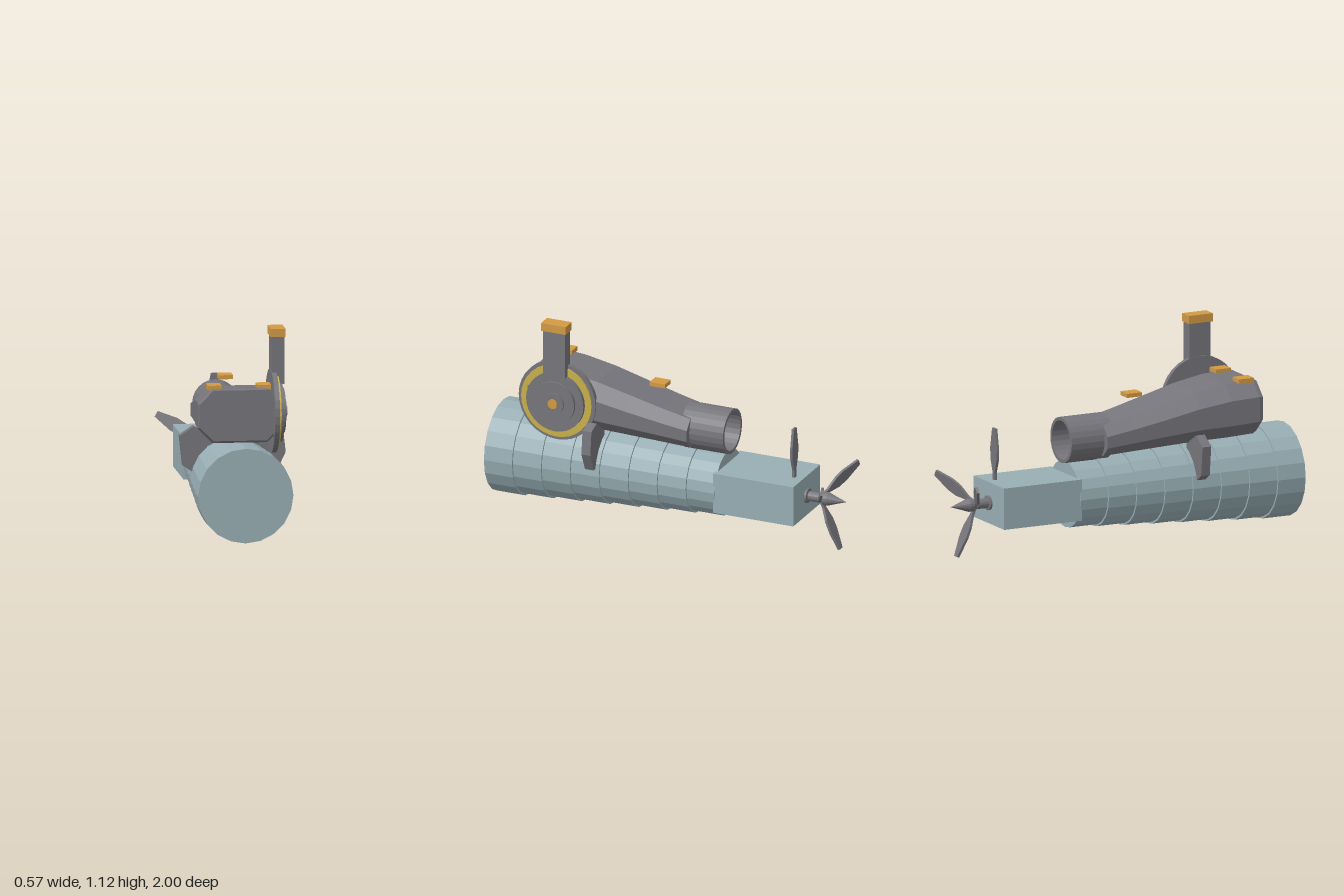
import * as THREE from 'three';

const paint = (name, color) => Object.assign(new THREE.MeshStandardMaterial({ color, flatShading: true }), { name });

export function createModel() {
  const model = new THREE.Group();
  const teal = paint('paleTeal', 0x98aeb4);
  const grey = paint('gunGrey', 0x75757b);
  const orange = paint('brassOrange', 0xd29a45);
  const yellow = paint('dullYellow', 0xc8b04c);

  const add = (name, geo, mat, x = 0, y = 0, z = 0, parent = model) => {
    const m = new THREE.Mesh(geo, mat);
    m.name = name;
    m.position.set(x, y, z);
    parent.add(m);
    return m;
  };
  // box given by its minimum and maximum corners
  const block = (name, mat, a, b) => add(name,
    new THREE.BoxGeometry(b[0] - a[0], b[1] - a[1], b[2] - a[2]), mat,
    (a[0] + b[0]) / 2, (a[1] + b[1]) / 2, (a[2] + b[2]) / 2);
  const plate = (points, depth) => new THREE.ExtrudeGeometry(
    new THREE.Shape(points.map(p => new THREE.Vector2(...p))), { depth, bevelEnabled: false })
    .translate(0, 0, -depth / 2);

  // stepped barrel, each ring a little narrower
  const axisY = 0.278, cx = -0.002, step = 0.164;
  for (let i = 0; i < 8; i++) {
    const r = 0.255 - i * 0.0105;
    add('barrelRing' + (i + 1), new THREE.CylinderGeometry(r, r, step, 20).rotateX(Math.PI / 2),
      teal, cx, axisY, 1 - step * (i + 0.5));
  }
  block('motorBox', teal, [-0.177, 0.165, -0.768], [0.173, 0.39, -0.3]);

  // octagonal housing lofted along z: [z, half width, bottom, top, chamfer]
  const sections = [
    [0.762, 0.218, 0.538, 0.81, 0.075],
    [0.74, 0.224, 0.525, 0.816, 0.078],
    [0.58, 0.214, 0.516, 0.808, 0.078],
    [0.4, 0.2, 0.512, 0.78, 0.076],
    [0.2, 0.185, 0.503, 0.73, 0.068],
    [0.02, 0.17, 0.495, 0.685, 0.058],
    [-0.138, 0.157, 0.487, 0.65, 0.05],
  ];
  const rings = sections.map(([z, w, b, t, c]) => [
    [w, b + c], [w, t - c], [w - c, t], [c - w, t], [-w, t - c], [-w, b + c], [c - w, b], [w - c, b],
  ].map(([x, y]) => [x - 0.003, y, z]));
  const verts = [];
  const tri = (...pts) => pts.forEach(p => verts.push(...p));
  for (let s = 0; s < rings.length - 1; s++) {
    for (let i = 0; i < 8; i++) {
      const j = (i + 1) % 8, A = rings[s], B = rings[s + 1];
      tri(A[i], B[i], B[j]);
      tri(A[i], B[j], A[j]);
    }
  }
  const last = rings[rings.length - 1];
  for (let i = 1; i < 7; i++) {
    tri(rings[0][0], rings[0][i], rings[0][i + 1]);
    tri(last[0], last[i + 1], last[i]);
  }
  const housing = new THREE.BufferGeometry();
  housing.setAttribute('position', new THREE.Float32BufferAttribute(verts, 3));
  housing.computeVertexNormals();
  add('housing', housing, grey);

  // hollow exhaust tube at the rear of the housing
  const wall = [[0.106, -0.125], [0.124, -0.125], [0.124, 0.125], [0.106, 0.125], [0.106, -0.125]]
    .map(p => new THREE.Vector2(...p));
  add('exhaustTube', new THREE.LatheGeometry(wall, 24).rotateX(Math.PI / 2), grey, -0.002, 0.573, -0.21);

  // sight pads
  block('frontPadRight', orange, [-0.172, 0.808, 0.645], [-0.098, 0.833, 0.735]);
  block('frontPadLeft', orange, [0.092, 0.808, 0.645], [0.166, 0.833, 0.735]);
  block('rearPad', orange, [-0.04, 0.77, 0.042], [0.036, 0.792, 0.132]);

  // side dial of stacked discs: [name, radius, x start, x end, material]
  const dial = new THREE.Group();
  dial.name = 'dial';
  dial.position.set(0, 0.672, 0.595);
  model.add(dial);
  [['dialBase', 0.224, 0.178, 0.204, grey],
    ['dialRing', 0.205, 0.2, 0.215, yellow],
    ['dialPlate', 0.167, 0.2, 0.235, grey],
    ['dialStep', 0.12, 0.2, 0.25, grey],
    ['dialHub', 0.06, 0.2, 0.26, grey],
    ['dialPin', 0.027, 0.2, 0.268, orange],
  ].forEach(([name, r, x0, x1, mat]) => add(name,
    new THREE.CylinderGeometry(r, r, x1 - x0, 32).rotateZ(Math.PI / 2), mat, (x0 + x1) / 2, 0, 0, dial));

  // upright lever with cap
  block('lever', grey, [0.18, 0.822, 0.53], [0.247, 1.085, 0.658]);
  block('leverCap', orange, [0.172, 1.078, 0.524], [0.252, 1.122, 0.668]);

  // side lugs gripping the barrel
  add('lugRight', plate([[-0.1, 0.35], [-0.2, 0.31], [-0.268, 0.355], [-0.285, 0.515],
    [-0.21, 0.565], [-0.1, 0.5]].reverse(), 0.052), grey, 0, 0, 0.392);
  add('lugLeft', plate([[0.1, 0.35], [0.235, 0.318], [0.283, 0.42], [0.268, 0.55],
    [0.2, 0.575], [0.1, 0.5]], 0.052), grey, 0, 0, 0.392);

  // propeller: shaft and spinner turned about z
  const prop = new THREE.Group();
  prop.name = 'propeller';
  prop.position.set(-0.003, axisY, -0.765);
  model.add(prop);
  const hub = [[0, 0], [0.04, 0], [0.04, 0.015], [0.027, 0.018], [0.027, 0.08], [0.022, 0.085],
    [0.036, 0.105], [0.036, 0.13], [0.02, 0.175], [0, 0.235]].map(p => new THREE.Vector2(...p));
  add('propellerHub', new THREE.LatheGeometry(hub, 16).rotateX(-Math.PI / 2), grey, 0, 0, 0, prop);

  // three swept blades, and one more standing on the box
  const half = [[0.011, 0], [0.012, 0.06], [0.036, 0.13], [0.038, 0.19], [0.017, 0.298]];
  const blade = plate([...half, ...half.map(([x, y]) => [-x, y]).reverse()], 0.014);
  for (let i = 0; i < 3; i++) {
    const arm = new THREE.Group();
    arm.name = 'bladeArm' + (i + 1);
    arm.position.z = -0.082;
    arm.rotation.z = Math.PI + i * Math.PI * 2 / 3;
    prop.add(arm);
    add('propellerBlade', blade, grey, 0, 0, 0, arm).rotation.x = -0.4;
  }
  add('uprightFin', blade, grey, 0.038, 0.372, -0.713);
  return model;
}
